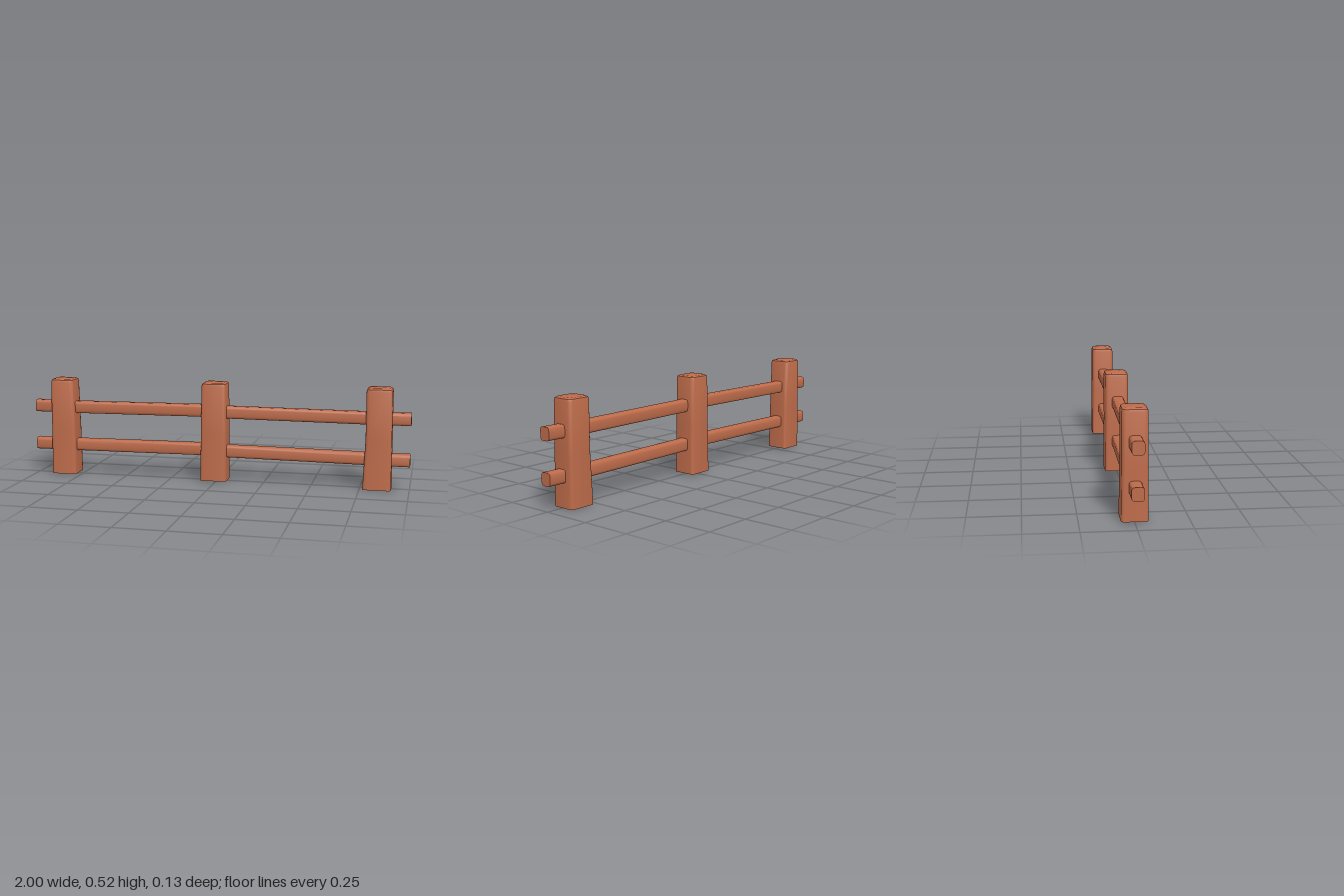
import * as THREE from 'three';
import { toCreasedNormals } from 'three/addons/utils/BufferGeometryUtils.js';

// Rounded rectangle outline, counter-clockwise in (u, v)
function outline(cu, cv, hu, hv, r) {
  const pts = [];
  [[1, 1], [-1, 1], [-1, -1], [1, -1]].forEach(([su, sv], corner) => {
    for (let k = 0; k <= 3; k++) {
      const a = (corner + k / 3) * Math.PI / 2;
      pts.push([cu + su * (hu - r) + r * Math.cos(a), cv + sv * (hv - r) + r * Math.sin(a)]);
    }
  });
  return pts;
}

// Skin through sections [t, centreU, centreV, halfU, halfV, radius]; place maps (u, v, t) to xyz
function loft(sections, place, capStart, capEnd) {
  const pos = [], index = [], n = 16;
  for (const [t, ...s] of sections) for (const [u, v] of outline(...s)) pos.push(...place(u, v, t));
  for (let i = 0; i < sections.length - 1; i++) {
    for (let j = 0; j < n; j++) {
      const a = i * n + j, b = i * n + (j + 1) % n;
      index.push(a, b, b + n, a, b + n, a + n);
    }
  }
  const cap = (i, flip) => {
    const [t, u, v] = sections[i];
    const c = pos.length / 3;
    pos.push(...place(u, v, t));
    for (let j = 0; j < n; j++) {
      const a = i * n + j, b = i * n + (j + 1) % n;
      index.push(c, flip ? b : a, flip ? a : b);
    }
  };
  if (capStart) cap(0, true);
  if (capEnd) cap(sections.length - 1, false);
  const g = new THREE.BufferGeometry();
  g.setAttribute('position', new THREE.Float32BufferAttribute(pos, 3));
  g.setIndex(index);
  return toCreasedNormals(g, 0.75);
}

export function createModel() {
  const group = new THREE.Group();
  const wood = new THREE.MeshStandardMaterial({ color: 0xbd6b4a, side: THREE.DoubleSide });
  wood.name = 'redBrownWood';
  const add = (name, geometry) => {
    const mesh = new THREE.Mesh(geometry, wood);
    mesh.name = name;
    group.add(mesh);
  };

  // Posts: hollow underneath, softly rounded on top; x edges at bottom, middle and top
  const posts = [
    ['rightPost', 0.006, 0.52, 0.0, [-0.904, -0.769], [-0.903, -0.772], [-0.902, -0.778]],
    ['middlePost', 0.006, 0.522, 0.0, [-0.08, 0.058], [-0.077, 0.057], [-0.073, 0.055]],
    ['leftPost', 0.0, 0.518, -0.003, [0.766, 0.909], [0.776, 0.907], [0.775, 0.905]],
  ];
  for (const [name, base, top, z, low, mid, high] of posts) {
    const row = (y, [x0, x1], halfZ, r, inset = 0) =>
      [y, z, (x0 + x1) / 2, halfZ - inset, (x1 - x0) / 2 - inset, r];
    add(name, loft([
      row(base, low, 0.062, 0.015),
      row(0.26, mid, 0.059, 0.016),
      row(top - 0.018, high, 0.059, 0.018),
      row(top - 0.006, high, 0.059, 0.018, 0.003),
      row(top, high, 0.059, 0.016, 0.013),
    ], (u, v, t) => [v, t, u], false, true));
  }

  // Rails: long rounded bars, sagging a little towards +x
  const rails = [
    ['upperRail', [0.368, 0.366, 0.371, 0.366, 0.362, 0.363]],
    ['lowerRail', [0.162, 0.162, 0.166, 0.160, 0.153, 0.152]],
  ];
  const xs = [-1, -0.75, -0.1, 0.08, 0.75, 1];
  const zs = [0.002, 0, 0.004, 0.002, 0, 0.004];
  for (const [name, ys] of rails) {
    const sections = xs.map((x, i) => [x, ys[i], zs[i], 0.032, 0.029, 0.014]);
    add(name, loft(sections, (u, v, t) => [t, u, v], true, true));
  }
  return group;
}
